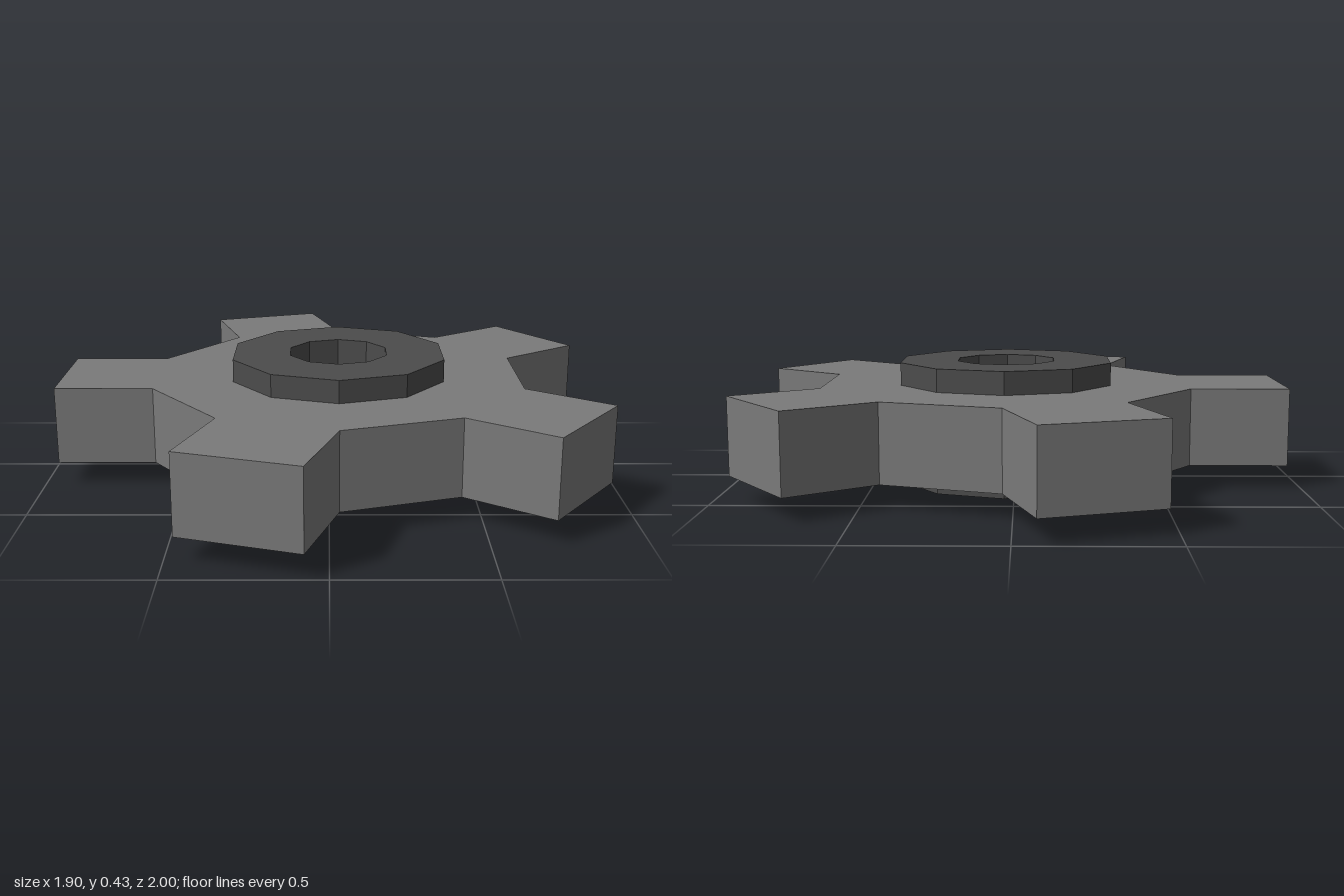
import * as THREE from 'three';

const TEETH = 5, SIDES = 10;
const CENTER_X = 0.033;

// Regular polygon with one corner pointing along +y
function polygon(radius) {
  return Array.from({ length: SIDES }, (_, i) => {
    const a = Math.PI / 2 + (i / SIDES) * Math.PI * 2;
    return new THREE.Vector2(Math.cos(a) * radius, Math.sin(a) * radius);
  });
}

// Outline of straight-sided teeth joined by flat flanks, one tooth pointing to -x
function gearOutline(root, tip, halfWidth) {
  const points = [];
  for (let i = 0; i < TEETH; i++) {
    const a = Math.PI + (i / TEETH) * Math.PI * 2;
    for (const [r, w] of [[root, -halfWidth], [tip, -halfWidth], [tip, halfWidth], [root, halfWidth]]) {
      points.push(new THREE.Vector2(r, w).rotateAround(new THREE.Vector2(), a));
    }
  }
  return points;
}

// Flat ring laid on the ground plane between two heights
function plate(name, outline, holeRadius, bottom, top, material) {
  const shape = new THREE.Shape(outline);
  shape.holes.push(new THREE.Path(polygon(holeRadius)));
  const geometry = new THREE.ExtrudeGeometry(shape, { depth: top - bottom, bevelEnabled: false });
  geometry.rotateX(-Math.PI / 2);
  const mesh = new THREE.Mesh(geometry, material);
  mesh.name = name;
  mesh.position.set(CENTER_X, bottom, 0);
  return mesh;
}

export function createModel() {
  const gearGrey = new THREE.MeshStandardMaterial({ color: 0x7a7a7a });
  gearGrey.name = 'gear grey';
  const hubGrey = new THREE.MeshStandardMaterial({ color: 0x4c4c4c });
  hubGrey.name = 'hub dark grey';

  const group = new THREE.Group();
  group.name = 'gear';
  // Toothed wheel, its bore hidden inside the hub
  group.add(plate('toothedWheel', gearOutline(0.643, 0.984, 0.208), 0.3, 0.08, 0.35, gearGrey));
  // Ten-sided hub with an open axle hole
  group.add(plate('hub', polygon(0.39), 0.18, 0, 0.43, hubGrey));
  return group;
}
